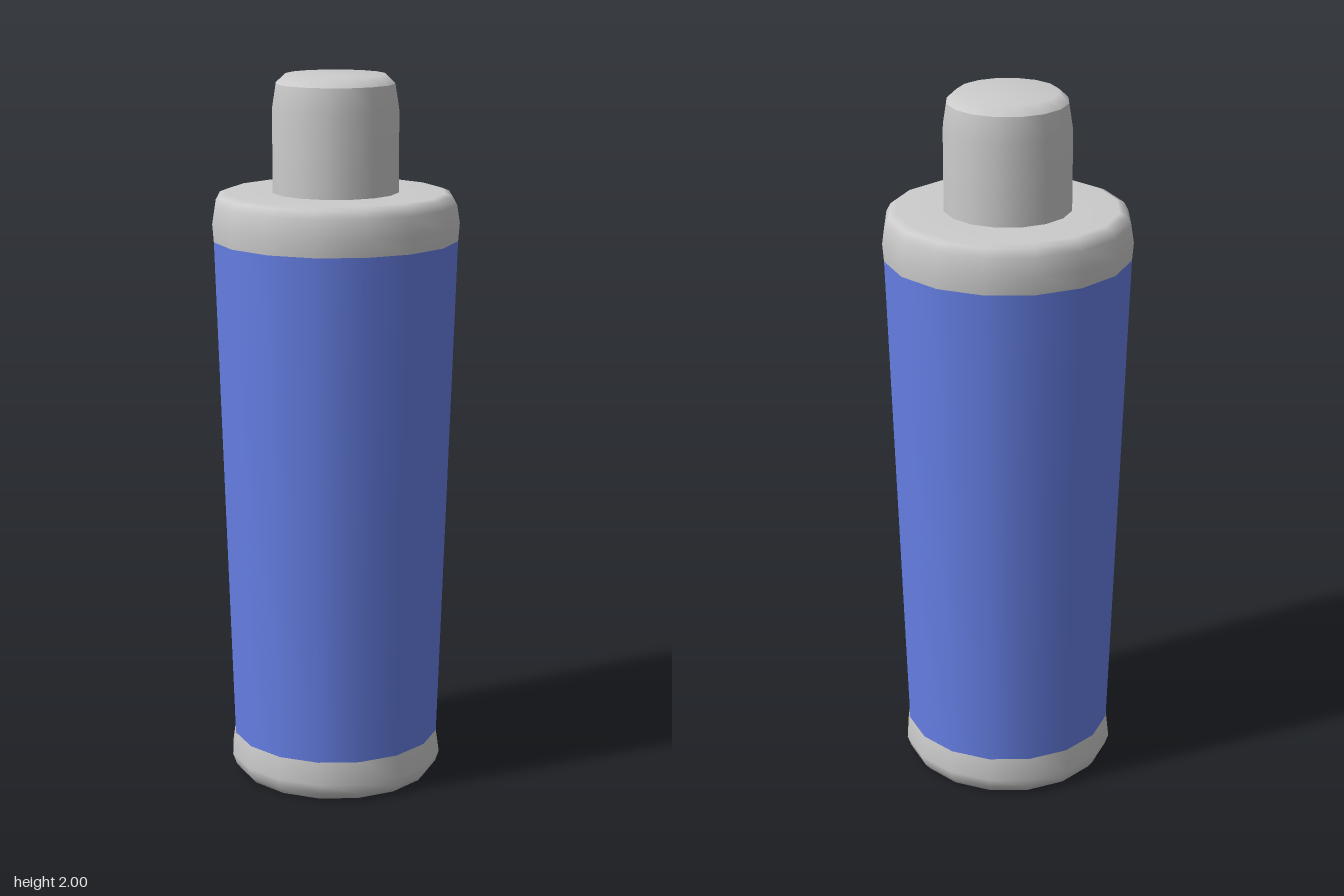
import * as THREE from 'three';

const SIDES = 16;

// Turned part from [radius, height] pairs, listed bottom to top
function turned(name, profile, color) {
  const points = profile.map(([r, y]) => new THREE.Vector2(r, y));
  const mesh = new THREE.Mesh(
    new THREE.LatheGeometry(points, SIDES),
    new THREE.MeshStandardMaterial({ color })
  );
  mesh.name = name;
  return mesh;
}

export function createModel() {
  const group = new THREE.Group();
  group.name = 'bottle';

  group.add(
    // Rounded foot with closed underside
    turned('base', [[0, 0], [0.28, 0], [0.295, 0.02], [0.305, 0.05], [0.296, 0.115]], 0xcccccc),
    // Tapered coloured body
    turned('body', [[0.296, 0.115], [0.341, 1.55]], 0x6680e6),
    // Rounded shoulder
    turned('shoulder', [[0.341, 1.55], [0.345, 1.6], [0.337, 1.65], [0.325, 1.672], [0.305, 1.68], [0.17, 1.68]], 0xcccccc),
    // Cap side, with a crease under its top
    turned('capSide', [[0.176, 1.67], [0.176, 1.905], [0.165, 1.975]], 0xcccccc),
    // Softly domed cap top
    turned('capTop', [[0.165, 1.975], [0.138, 2], [0, 2]], 0xcccccc)
  );
  return group;
}
